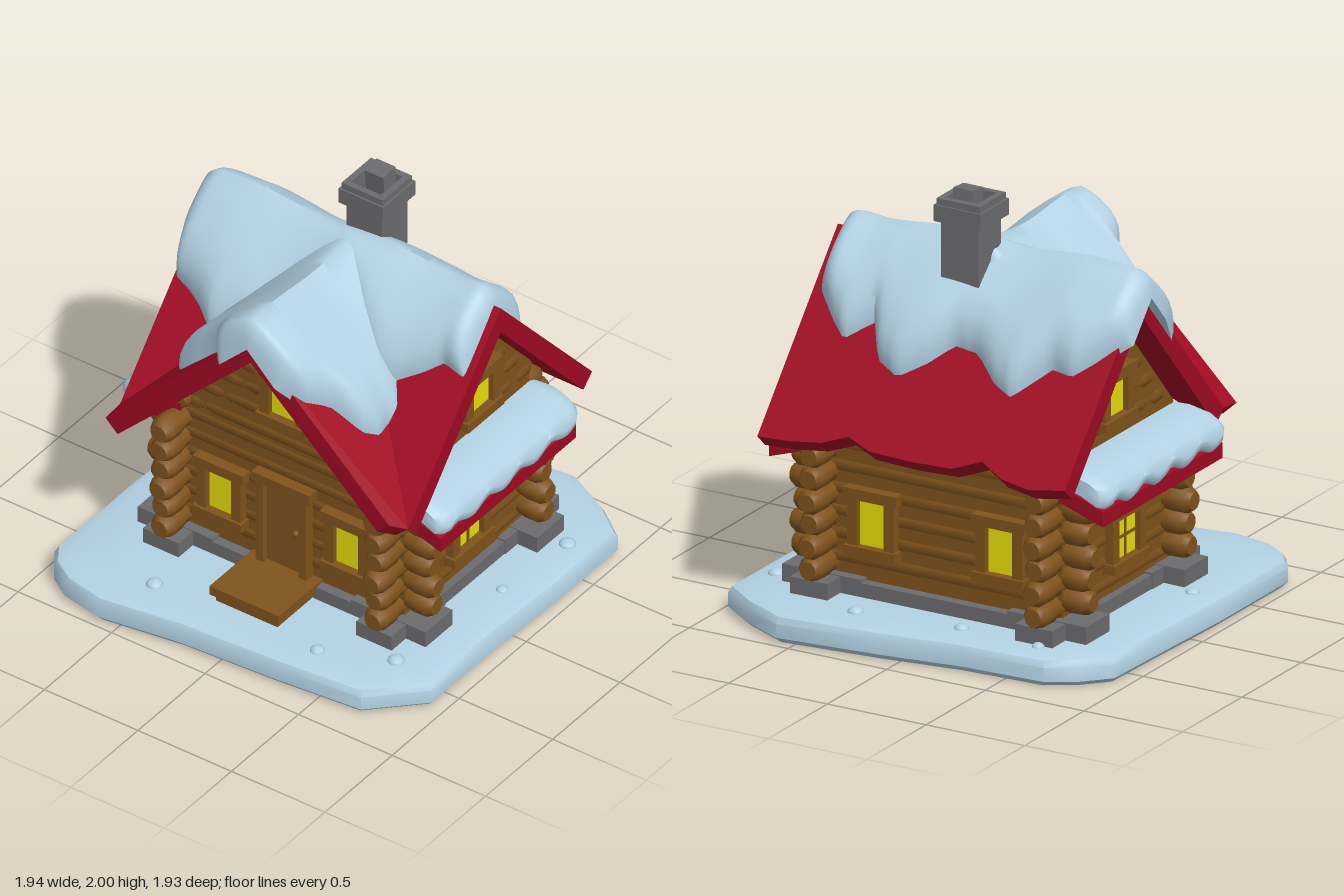
import * as THREE from 'three';
import { toCreasedNormals } from 'three/addons/utils/BufferGeometryUtils.js';
import { ConvexGeometry } from 'three/addons/geometries/ConvexGeometry.js';

const mat = (name, color) => Object.assign(new THREE.MeshStandardMaterial({ color }), { name });
const snow = mat('snow', 0xb3d2e4), red = mat('redRoof', 0xa00a23), wood = mat('wood', 0x80531c);
const glow = mat('windowGlow', 0xeee40c), stone = mat('stone', 0x6c6c6f);
const V = (x, y, z) => new THREE.Vector3(x, y, z);

function add(parent, name, geo, material, x = 0, y = 0, z = 0) {
  const m = new THREE.Mesh(geo, material);
  m.name = name;
  m.position.set(x, y, z);
  parent.add(m);
  return m;
}
const box = (parent, name, material, w, h, d, x, y, z) =>
  add(parent, name, new THREE.BoxGeometry(w, h, d), material, x, y, z);

// Skin over a list of equal-length rings, with optional fan caps
function loft(rings, crease, caps) {
  const n = rings[0].length, pts = rings.flat(), idx = [];
  for (let i = 0; i < rings.length - 1; i++)
    for (let j = 0; j < n; j++) {
      const a = i * n + j, b = i * n + (j + 1) % n;
      idx.push(a, b, a + n, b, b + n, a + n);
    }
  if (caps) [0, rings.length - 1].forEach((r, k) => {
    pts.push(rings[r].reduce((s, p) => s.add(p), V(0, 0, 0)).divideScalar(n));
    for (let j = 0; j < n; j++) {
      const a = r * n + j, b = r * n + (j + 1) % n;
      idx.push(pts.length - 1, ...(k ? [a, b] : [b, a]));
    }
  });
  // turn the skin outward if its volume is negative
  let vol = 0;
  for (let i = 0; i < idx.length; i += 3)
    vol += pts[idx[i]].dot(V(0, 0, 0).crossVectors(pts[idx[i + 1]], pts[idx[i + 2]]));
  if (vol < 0) idx.reverse();
  const g = new THREE.BufferGeometry().setFromPoints(pts);
  g.setIndex(idx);
  return toCreasedNormals(g, crease);
}

// Roof slab: ridge points drop straight down, eave points are cut square to the slope
const slab = (ridge, eave, dx, dz) => new ConvexGeometry([...ridge, ...eave,
  ...ridge.map(p => V(p.x, p.y - 0.13, p.z)), ...eave.map(p => V(p.x + dx, p.y - 0.06, p.z + dz))]);

// Linear lookup in rows of [position, a, b]
function look(rows, t, col) {
  let i = 1;
  while (i < rows.length - 1 && rows[i][0] < t) i++;
  const [p, q] = [rows[i - 1], rows[i]];
  return THREE.MathUtils.lerp(p[col], q[col], THREE.MathUtils.clamp((t - p[0]) / (q[0] - p[0]), 0, 1));
}

// Main ridge runs along z, side ridge along x
const RX = 0.13, mainY = x => 1.64 - 1.13 * Math.abs(x - RX), sideY = z => 1.62 - Math.abs(z);
const WX = [-0.33, 0.5], WZ = [-0.57, 0.57];

// Snow draped over a ridge; rows give [station, width to -, width to +]
function ridgeSnow(rows, ridge, slope, place) {
  const rings = [], N = 60, K = 18, t0 = rows[0][0], t1 = rows[rows.length - 1][0];
  for (let i = 0; i <= N; i++) {
    const c = 2 * i / N - 1, v = 0.5 + 0.5 * (0.4 * c + 0.6 * Math.sin(c * Math.PI / 2));
    const t = t0 + (t1 - t0) * v;
    const q = Math.min(1, Math.min(v, 1 - v) / 0.06), e = Math.sqrt(1 - (1 - q) ** 2);
    const top = [], under = [];
    for (let j = 0; j <= K; j++) {
      const u = Math.sin((j / K - 0.5) * Math.PI);
      const s = u * Math.max(0.05, look(rows, t, u < 0 ? 1 : 2) - 0.05);
      const base = ridge - slope * Math.abs(s) - 0.04;
      const lift = (0.14 + 0.012 * Math.sin(t * 9)) * Math.sqrt(Math.max(0, 1 - u ** 6)) * e;
      const soft = slope * (0.03 + Math.abs(s) - Math.hypot(s, 0.03)) * e * (1 - u ** 6);
      top.push(place(s + u * lift * 0.45, base + lift + soft - slope * 0.03 * e * (1 - Math.abs(u)) * 0.3, t));
      under.unshift(place(s, base, t));
    }
    rings.push([...top, ...under]);
  }
  return loft(rings, 1, false);
}

// Round log with softened ends and a slight neck at the corner crossings
function log(len, r = 0.06) {
  const h = len / 2, half = [[0, h], [r * 0.7, h], [r, h - 0.03], [r * 1.03, h - 0.1], [r * 0.9, h - 0.14], [r, h - 0.2]];
  const pts = [...half.map(([a, b]) => [a, -b]), ...half.reverse()];
  return toCreasedNormals(new THREE.LatheGeometry(pts.map(p => new THREE.Vector2(...p)), 10), 0.8);
}
const logX = (p, x0, x1, y, z) =>
  add(p, 'log', log(x1 - x0), wood, (x0 + x1) / 2, y, z).rotation.z = -Math.PI / 2;
const logZ = (p, z0, z1, y, x) =>
  add(p, 'log', log(z1 - z0), wood, x, y, (z0 + z1) / 2).rotation.x = Math.PI / 2;

function makeWindow(parent, w, h, x, y, z, turn, bars) {
  const g = new THREE.Group();
  g.name = 'window';
  g.position.set(x, y, z);
  g.rotation.y = turn;
  parent.add(g);
  box(g, 'pane', glow, w, h, 0.009, 0, 0, 0.006);
  box(g, 'lintel', wood, w + 0.13, 0.05, 0.07, 0, h / 2 + 0.022, 0.01);
  box(g, 'sill', wood, w + 0.12, 0.045, 0.08, 0, -h / 2 - 0.02, 0.012);
  for (const s of [-1, 1]) box(g, 'jamb', wood, 0.05, h, 0.055, s * (w / 2 + 0.023), 0, 0.01);
  if (bars) {
    box(g, 'mullion', wood, 0.012, h, 0.016, 0, 0, 0.01);
    box(g, 'mullion', wood, w, 0.012, 0.016, 0, 0, 0.01);
  }
}

export function createModel() {
  const house = new THREE.Group();
  house.name = 'snowyCabin';

  // Snowy ground
  const outline = [[-0.77, -0.97], [-0.2, -0.97], [0.3, -0.95], [0.64, -0.94], [0.76, -0.83], [0.84, -0.7], [0.86, -0.3],
    [0.92, 0.1], [0.97, 0.58], [0.86, 0.8], [0.74, 0.96], [0.3, 0.96], [-0.2, 0.94], [-0.62, 0.94], [-0.84, 0.72],
    [-0.88, 0.3], [-0.91, -0.2], [-0.97, -0.6], [-0.93, -0.8], [-0.86, -0.91]];
  const levels = [[0, 0.975], [0.025, 1], [0.09, 1], [0.118, 0.985], [0.132, 0.94], [0.135, 0.7]];
  add(house, 'ground', loft(levels.map(([y, s]) => outline.map(([x, z]) => V(x * s, y, z * s))), 0.7, true), snow);
  for (const [x, z, r] of [[-0.58, 0.72, 0.04], [0.53, 0.84, 0.04], [0.1, 0.8, 0.03], [0.76, 0.3, 0.04],
    [0.7, -0.2, 0.035], [0.72, -0.6, 0.03], [-0.2, -0.83, 0.035], [-0.75, -0.45, 0.04], [-0.72, 0.4, 0.035]])
    add(house, 'snowLump', new THREE.SphereGeometry(r, 10, 6), snow, x, 0.13, z).scale.y = 0.7;

  // Stone footing
  box(house, 'footing', stone, 1.03, 0.13, 1.32, 0.085, 0.135, 0);
  for (const x of WX) for (const z of WZ) {
    box(house, 'footing', stone, 0.4, 0.13, 0.19, x * 1.02, 0.145, z);
    box(house, 'footing', stone, 0.2, 0.135, 0.4, x, 0.147, z);
  }

  // Log walls crossing at the corners, with shallow grooves
  const walls = new THREE.Group();
  walls.name = 'walls';
  house.add(walls);
  box(walls, 'wallCore', wood, 0.935, 0.7, 1.245, 0.085, 0.5, 0);
  for (let k = 0; k < 6; k++) {
    const wob = 0.012 * Math.sin(k * 2.4), y = 0.255 + k * 0.105;
    for (const z of WZ) logX(walls, -0.55 + wob, 0.72 + wob, y, z);
    for (const x of WX) logZ(walls, -0.75 + wob, 0.76 + wob, y + 0.035, x);
  }

  // Gable walls: solid core with shortening logs
  const frontCore = [[0.13, 1.55], [0.55, 1.07], [0.55, 0.8], [-0.38, 0.8], [-0.38, 0.97]];
  add(walls, 'gableCore', new ConvexGeometry(frontCore.flatMap(([x, y]) => [V(x, y, 0.622), V(x, y, -0.622)])), wood);
  const sideCore = [[0, 1.53], [0.622, 0.9], [0.622, 0.8], [-0.622, 0.8], [-0.622, 0.9]];
  add(walls, 'gableCore', new ConvexGeometry(sideCore.flatMap(([z, y]) => [V(-0.382, y, z), V(0.1, y, z)])), wood);
  for (let y = 0.885; y < 1.42; y += 0.105) {
    const a = (1.5 - y) / 1.13, b = Math.min(0.62, 1.47 - y);
    for (const z of WZ) logX(walls, Math.max(-0.47, RX - a), Math.min(0.66, RX + a), y, z);
    logZ(walls, -b, b, y, WX[0]);
  }

  // Windows on every wall
  for (const s of [1, -1]) {
    const turn = s > 0 ? 0 : Math.PI;
    makeWindow(house, 0.18, 0.2, 0.06, 0.45, s * 0.63, turn, true);
    makeWindow(house, 0.15, 0.17, 0.145, 1.115, s * 0.63, turn, false);
    makeWindow(house, 0.14, 0.22, 0.56, 0.475, s * 0.325, Math.PI / 2, false);
    makeWindow(house, 0.14, 0.22, -0.39, 0.475, s * 0.34, -Math.PI / 2, false);
  }
  makeWindow(house, 0.15, 0.17, -0.39, 1.11, 0, -Math.PI / 2, false);

  // Door with frame, knob and step
  box(house, 'door', wood, 0.03, 0.44, 0.2, -0.39, 0.43, 0);
  for (const z of [-0.115, 0.115]) box(house, 'doorJamb', wood, 0.07, 0.45, 0.04, -0.4, 0.43, z);
  box(house, 'doorLintel', wood, 0.08, 0.05, 0.31, -0.4, 0.665, 0);
  add(house, 'doorKnob', new THREE.SphereGeometry(0.016, 8, 6), wood, -0.415, 0.43, 0.065);
  box(house, 'doorStep', wood, 0.33, 0.045, 0.37, -0.545, 0.193, 0);
  box(house, 'stepBase', wood, 0.31, 0.07, 0.33, -0.535, 0.15, 0);

  // Roof: wavy right slope, then left slopes cut along the two valleys
  const eave = [[-0.77, 0.78], [-0.6, 0.8], [-0.45, 0.785], [-0.33, 0.745], [-0.2, 0.785], [0, 0.79], [0.22, 0.785],
    [0.34, 0.755], [0.46, 0.79], [0.62, 0.805], [0.77, 0.81]];
  for (let i = 1; i < eave.length; i++) {
    const [[z0, x0], [z1, x1]] = [eave[i - 1], eave[i]];
    add(house, 'roofRight', slab([V(RX, 1.64, z0), V(RX, 1.64, z1)],
      [V(x0, mainY(x0), z0), V(x1, mainY(x1), z1)], -0.065, 0), red);
  }
  for (const s of [1, -1]) {
    const corner = V(-0.56, 0.86, 0.77 * s);
    const [ex, ez] = s > 0 ? [-0.63, 0.72] : [-0.67, -0.77];
    add(house, 'roofLeft', slab([V(RX, 1.64, 0), V(RX, 1.64, 0.77 * s)], [corner], 0.065, 0), red);
    add(house, 'roofSide', slab([V(RX, 1.62, 0), V(-0.66, 1.62, 0)], [V(ex, sideY(ez), ez), corner], 0, -0.065 * s), red);
  }

  // Snow over both ridges
  const mainSnow = [[-0.82, 0.17, 0.2], [-0.76, 0.33, 0.24], [-0.68, 0.35, 0.3], [-0.6, 0.38, 0.35], [-0.5, 0.44, 0.34],
    [-0.35, 0.4, 0.45], [-0.25, 0.3, 0.42], [-0.12, 0.2, 0.34], [0, 0.1, 0.33], [0.1, 0.2, 0.4], [0.22, 0.3, 0.46],
    [0.34, 0.38, 0.42], [0.42, 0.36, 0.31], [0.54, 0.3, 0.38], [0.62, 0.25, 0.33], [0.74, 0.27, 0.24]];
  add(house, 'ridgeSnow', ridgeSnow(mainSnow, 1.64, 1.13, (s, y, t) => V(RX + s, y, t)), snow);
  const sideSnow = [[-0.69, 0.2, 0.2], [-0.62, 0.23, 0.3], [-0.55, 0.28, 0.34], [-0.51, 0.53, 0.37], [-0.45, 0.57, 0.49],
    [-0.38, 0.56, 0.53], [-0.3, 0.5, 0.52], [-0.24, 0.57, 0.54], [-0.14, 0.45, 0.48], [0, 0.3, 0.32], [0.25, 0.1, 0.1]];
  add(house, 'sideRidgeSnow', ridgeSnow(sideSnow, 1.62, 1, (s, y, t) => V(t, y, s)), snow);

  // Small snow-topped canopies at the front and back
  for (const turn of [0, Math.PI]) {
    const g = new THREE.Group();
    g.name = 'canopy';
    g.position.x = 0.08;
    g.rotation.y = turn;
    house.add(g);
    const cut = [[0.55, 0.87], [0.85, 0.76], [0.85, 0.69], [0.55, 0.79]];
    add(g, 'canopyRoof', new ConvexGeometry(cut.flatMap(([z, y]) => [V(-0.51, y, z), V(0.5, y, z)])), red);
    const rings = [];
    for (let i = 0; i <= 40; i++) {
      const x = -0.51 + 1.03 * i / 40, a = 0.018 * Math.sin(x * 27), f = Math.min(1, 0.7 + Math.min(i, 40 - i) * 0.2);
      rings.push([[0.6, 0.84], [0.6, 0.915], [0.7, 0.92], [0.79, 0.895], [0.85, 0.86], [0.875, 0.82 + a],
        [0.87, 0.785 + a], [0.85, 0.765 + a], [0.74, 0.8]]
        .map(([z, y]) => V(x, 0.84 + (y - 0.84) * f, 0.74 + (z - 0.74) * f)));
    }
    add(g, 'canopySnow', loft(rings, 1, true), snow);
  }

  // Chimney with open cap
  const chimney = new THREE.Group();
  chimney.name = 'chimney';
  chimney.position.set(0.237, 0, 0.03);
  house.add(chimney);
  const square = (h, P) => new P([[-h, -h], [h, -h], [h, h], [-h, h]].map(p => new THREE.Vector2(...p)));
  box(chimney, 'shaft', stone, 0.19, 0.45, 0.19, 0, 1.625, 0);
  for (const [h, y, d] of [[0.12, 1.845, 0.075], [0.11, 1.92, 0.03]]) {
    const shape = square(h, THREE.Shape);
    shape.holes.push(square(0.08, THREE.Path));
    add(chimney, 'cap', new THREE.ExtrudeGeometry(shape, { depth: d, bevelEnabled: false }), stone, 0, y, 0).rotation.x = -Math.PI / 2;
  }
  box(chimney, 'flue', stone, 0.09, 0.14, 0.1, 0.03, 1.925, 0).rotation.z = 0.1;
  return house;
}
